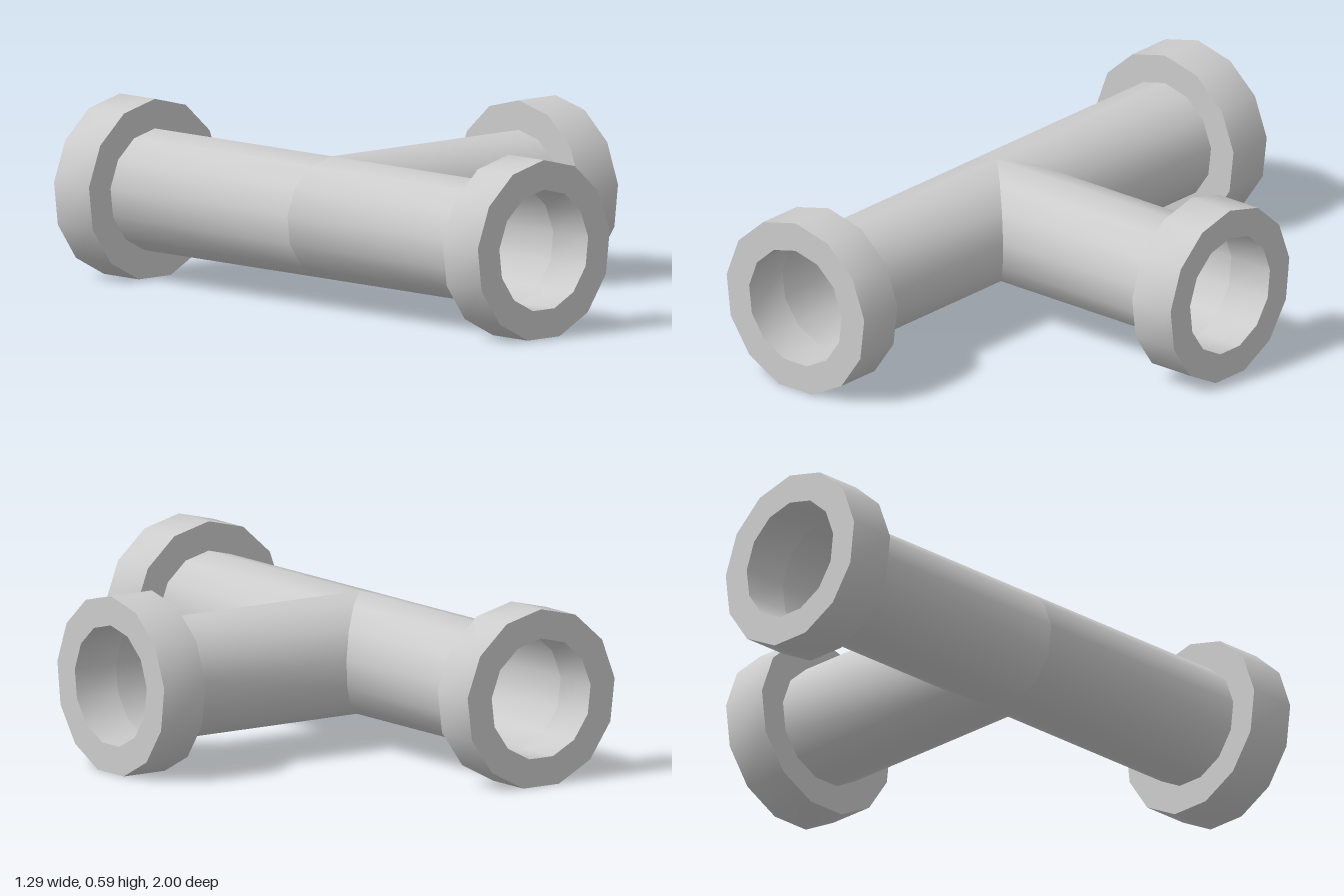
import * as THREE from 'three';
import { toCreasedNormals } from 'three/addons/utils/BufferGeometryUtils.js';

const SIDES = 13;
const PIPE_R = 0.2;
const COLLAR_R = 0.297;
const COLLAR_START = 0.835;
const ARM_LENGTH = 1;
const CREASE = Math.PI / 6;

// Thin pipe wall along +z, its inner end mitred by cut(x)
function pipeGeometry(cut) {
  const angles = [];
  for (let i = 0; i <= SIDES; i++) {
    angles.push((i / SIDES) * Math.PI * 2);
    if (i === (SIDES - 1) / 2) angles.push(Math.PI); // middle of the flat underside
  }
  const positions = [];
  const index = [];
  angles.forEach((a, i) => {
    // the underside middle lies on the flat facet, not on the circle
    const r = a === Math.PI ? PIPE_R * Math.cos(Math.PI / SIDES) : PIPE_R;
    const x = r * Math.sin(a);
    const y = r * Math.cos(a);
    positions.push(x, y, cut(x), x, y, COLLAR_START);
    if (i > 0) {
      const p = 2 * (i - 1);
      index.push(p, p + 1, p + 2, p + 2, p + 1, p + 3);
    }
  });
  const geometry = new THREE.BufferGeometry();
  geometry.setAttribute('position', new THREE.Float32BufferAttribute(positions, 3));
  geometry.setIndex(index);
  return toCreasedNormals(geometry, CREASE);
}

// Thick ring at the mouth of an arm
function collarGeometry() {
  const profile = [
    [PIPE_R, COLLAR_START],
    [COLLAR_R, COLLAR_START],
    [COLLAR_R, ARM_LENGTH],
    [PIPE_R, ARM_LENGTH],
    [PIPE_R, COLLAR_START],
  ].map(([r, h]) => new THREE.Vector2(r, h));
  const geometry = new THREE.LatheGeometry(profile, SIDES, Math.PI);
  geometry.rotateX(Math.PI / 2);
  return toCreasedNormals(geometry, CREASE);
}

export function createModel() {
  const model = new THREE.Group();
  model.name = 'teePipe';
  const material = new THREE.MeshStandardMaterial({ color: 0xcccccc, side: THREE.DoubleSide });
  const collar = collarGeometry();

  // Two halves of the straight run and the side branch, meeting at 45 degree mitres
  const arms = [
    { name: 'front', turn: 0, cut: (x) => Math.max(0, x) },
    { name: 'back', turn: Math.PI, cut: (x) => Math.max(0, -x) },
    { name: 'branch', turn: Math.PI / 2, cut: (x) => Math.abs(x) },
  ];
  for (const { name, turn, cut } of arms) {
    const arm = new THREE.Group();
    arm.name = name + 'Arm';
    const pipe = new THREE.Mesh(pipeGeometry(cut), material);
    pipe.name = name + 'Pipe';
    const ring = new THREE.Mesh(collar, material);
    ring.name = name + 'Collar';
    arm.add(pipe, ring);
    arm.rotation.y = turn;
    arm.position.set(-0.352, COLLAR_R * Math.cos(Math.PI / SIDES), 0);
    model.add(arm);
  }
  return model;
}
